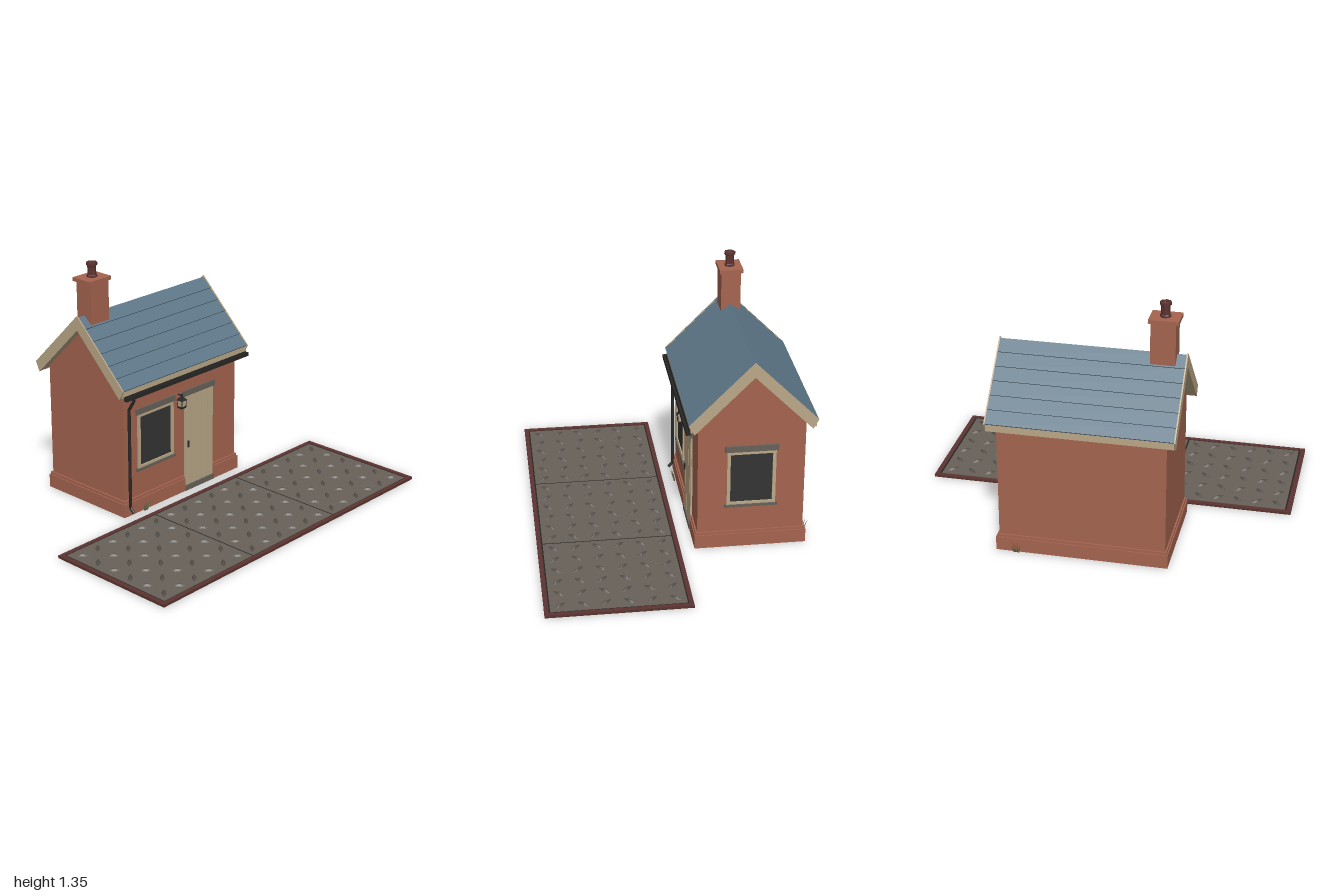
import * as THREE from 'three';
import { mergeGeometries } from 'three/addons/utils/BufferGeometryUtils.js';

const mat = (name, color) => {
  const m = new THREE.MeshStandardMaterial({ color, flatShading: true });
  m.name = name;
  return m;
};

export function createModel() {
  const brick = mat('brick', 0xa5644f);
  const slate = mat('slate', 0x5d7686);
  const timber = mat('cream timber', 0xbaa888);
  const iron = mat('black iron', 0x282726);
  const stone = mat('grey stone', 0x676159);
  const glass = mat('dark glass', 0x343434);
  const rimMat = mat('dark red rim', 0x5c3431);
  const tread = mat('dark tread', 0x544f49);
  const grass = mat('dry grass', 0x66664a);
  const earth = mat('brown earth', 0x4c3420);

  const model = new THREE.Group();
  const add = (name, geo, material, parent = model) => {
    const mesh = new THREE.Mesh(geo, material);
    mesh.name = name;
    parent.add(mesh);
    return mesh;
  };
  // Box given by its limits on each axis
  const box = (name, [x0, x1], [y0, y1], [z0, z1], material, parent) => {
    const g = new THREE.BoxGeometry(x1 - x0, y1 - y0, z1 - z0);
    g.translate((x0 + x1) / 2, (y0 + y1) / 2, (z0 + z1) / 2);
    return add(name, g, material, parent);
  };
  // Tapered rod between two points
  const rod = (name, a, b, r0, r1, material, sides = 8, parent = model) => {
    const p = new THREE.Vector3(...a), d = new THREE.Vector3(...b).sub(p);
    const g = new THREE.CylinderGeometry(r1, r0, d.length(), sides);
    g.translate(0, d.length() / 2, 0);
    const m = add(name, g, material, parent);
    m.position.copy(p);
    m.quaternion.setFromUnitVectors(new THREE.Vector3(0, 1, 0), d.normalize());
    return m;
  };
  const shapeOf = pts => new THREE.Shape(pts.map(p => new THREE.Vector2(...p)));
  // House cross-section (offset from the ridge, height) swept from x0 to x1
  const MID = -0.394, FRONT = -0.113;
  const sweep = (name, pts, x0, x1, material) => {
    const g = new THREE.ExtrudeGeometry(shapeOf(pts), { depth: x1 - x0, bevelEnabled: false });
    g.rotateY(Math.PI / 2);
    g.translate(x0, 0, MID);
    return add(name, g, material);
  };

  // Walls with gables
  sweep('walls', [[-0.281, 0], [0.281, 0], [0.281, 0.718], [0, 0.999], [-0.281, 0.718]], -0.435, 0.435, brick);

  // Two-step plinth, notched for the doorway (plan drawn with y = -z)
  [[0.015, 0, 0.075], [0.009, 0.075, 0.09]].forEach(([o, y0, y1]) => {
    const X = 0.435 + o, F = 0.113 - o, B = 0.675 + o;
    const g = new THREE.ExtrudeGeometry(shapeOf([
      [-X, F], [0.02, F], [0.02, 0.12], [0.252, 0.12], [0.252, F], [X, F], [X, B], [-X, B],
    ]), { depth: y1 - y0, bevelEnabled: false });
    g.rotateX(-Math.PI / 2);
    g.translate(0, y0, 0);
    add('plinth', g, brick);
  });

  // Roof deck with eaves fascia, and bargeboards on both gables
  sweep('roofDeck', [[-0.325, 0.735], [-0.312, 0.7], [0, 1.005], [0.312, 0.7], [0.325, 0.735], [0, 1.055]], -0.46, 0.46, timber);
  [-0.485, 0.478].forEach(x => sweep('bargeboard',
    [[-0.335, 0.742], [-0.307, 0.69], [0, 0.997], [0.307, 0.69], [0.335, 0.742], [0, 1.077]], x, x + 0.007, timber));
  [-0.45, 0.45].forEach(x => sweep('bargeSoffit',
    [[-0.325, 0.735], [-0.307, 0.692], [0, 0.999], [0.307, 0.692], [0.325, 0.735], [0, 1.055]], x - 0.028, x + 0.028, timber));
  [-0.076, -0.72].forEach(z => box('fascia', [-0.478, 0.478], [0.7, 0.738], [z, z + 0.008], timber));

  // Overlapping slate courses as a saw-tooth profile, mirrored over the ridge
  const onSlope = (u, v) => [(u + v) * Math.SQRT1_2, 1.067 + (v - u) * Math.SQRT1_2];
  const courses = 6, step = 0.464 / courses, half = [];
  for (let i = 0; i < courses; i++) {
    half.push(onSlope(i * step, 0), onSlope((i + 1) * step, 0.008));
  }
  half.push(onSlope(courses * step, -0.006));
  const left = half.slice(1).map(([s, y]) => [-s, y]).reverse();
  sweep('slates', [...left, ...half, [0, 1.05]], -0.479, 0.479, slate);

  // Chimney stack, cap and pot
  box('chimneyStack', [-0.43, -0.302], [0.98, 1.245], [-0.448, -0.342], brick);
  box('chimneyCap', [-0.446, -0.291], [1.245, 1.265], [-0.46, -0.332], brick);
  const pot = add('chimneyPot', new THREE.LatheGeometry([
    [0, 0], [0.028, 0], [0.028, 0.01], [0.023, 0.014], [0.023, 0.06], [0.03, 0.064], [0.03, 0.078], [0.022, 0.08], [0.018, 0.06], [0, 0.06],
  ].map(p => new THREE.Vector2(...p)), 8), rimMat);
  pot.position.set(-0.368, 1.265, -0.396);

  // Framed window: built facing +z on a wall at z = 0
  const makeWindow = (name, w) => {
    const g = new THREE.Group(), h = w / 2, i = h - 0.018;
    g.name = name;
    box('glass', [-i, i], [0.264, 0.542], [-0.002, 0.002], glass, g);
    [-1, 1].forEach(s => box('frameSide', s < 0 ? [-h, -i] : [i, h], [0.25, 0.558], [0, 0.009], timber, g));
    box('frameTop', [-i, i], [0.542, 0.558], [0, 0.009], timber, g);
    box('frameBottom', [-i, i], [0.25, 0.264], [0, 0.009], timber, g);
    box('lintel', [-h - 0.012, h + 0.012], [0.557, 0.59], [0, 0.01], stone, g);
    box('sill', [-h - 0.012, h + 0.012], [0.235, 0.25], [0, 0.014], stone, g);
    model.add(g);
    return g;
  };
  makeWindow('frontWindow', 0.27).position.set(-0.199, 0, FRONT);
  const side = makeWindow('sideWindow', 0.257);
  side.position.set(0.435, 0, MID);
  side.rotation.y = Math.PI / 2;

  // Plank door with lintel, step and handle
  box('doorBacking', [0.024, 0.248], [0.03, 0.557], [FRONT, FRONT + 0.004], timber);
  for (let i = 0; i < 5; i++) {
    const x = 0.024 + i * 0.0452;
    box('doorPlank', [x, x + 0.041], [0.03, 0.557], [FRONT, FRONT + 0.01], timber);
  }
  box('doorLintel', [0.01, 0.262], [0.557, 0.59], [FRONT, FRONT + 0.01], stone);
  box('doorStep', [0.021, 0.251], [0, 0.03], [FRONT, FRONT + 0.018], stone);
  box('doorHandle', [0.04, 0.05], [0.255, 0.292], [FRONT, -0.097], iron);

  // Wall lantern on a bracket
  const lantern = new THREE.Group();
  lantern.name = 'lantern';
  const lathe4 = (name, top, bottom, y0, y1, material) => {
    const g = new THREE.CylinderGeometry(top, bottom, y1 - y0, 4);
    g.rotateY(Math.PI / 4);
    g.translate(0, (y0 + y1) / 2, 0);
    add(name, g, material, lantern);
  };
  lathe4('lanternPanes', 0.025, 0.022, 0.52, 0.556, timber);
  lathe4('lanternRoof', 0.01, 0.031, 0.556, 0.574, iron);
  lathe4('lanternFinial', 0.007, 0.007, 0.574, 0.589, iron);
  lathe4('lanternBase', 0.026, 0.022, 0.51, 0.521, iron);
  [[1, 1], [1, -1], [-1, 1], [-1, -1]].forEach(([a, b]) =>
    rod('lanternPost', [a * 0.0155, 0.518, b * 0.0155], [a * 0.0177, 0.557, b * 0.0177], 0.0025, 0.0025, iron, 4, lantern));
  rod('lanternBracket', [0, 0.582, 0], [0, 0.582, -0.027], 0.004, 0.004, iron, 6, lantern);
  lantern.position.set(-0.02, 0, -0.086);
  model.add(lantern);

  // Box gutter: floor, front lip and back
  box('gutterFloor', [-0.472, 0.472], [0.686, 0.692], [-0.068, -0.046], iron);
  [-0.05, -0.068].forEach(z => box('gutterSide', [-0.472, 0.472], [0.686, 0.708], [z, z + 0.005], iron));
  [-0.472, 0.467].forEach(x => box('gutterEnd', [x, x + 0.005], [0.686, 0.707], [-0.066, -0.047], iron));

  // Bent downpipe
  const run = [[0.69, -0.055], [0.67, -0.058], [0.612, -0.094], [0.05, -0.094], [0.026, -0.07]];
  for (let i = 1; i < run.length; i++) {
    rod('downpipe', [-0.41, ...run[i - 1]], [-0.41, ...run[i]], 0.0085, 0.0085, iron);
  }

  // Grass tufts
  [[-0.298, -0.09, 1], [0.34, -0.695, -1]].forEach(([x, z, dir]) => {
    [[-0.025, 0.045, 0.01], [-0.012, 0.065, 0.018], [0.003, 0.05, 0.006], [0.014, 0.07, 0.025], [0.027, 0.04, 0.014]]
      .forEach(([dx, h, dz]) => rod('grassBlade', [x + dx * 0.4, 0, z], [x + dx, h, z + dir * dz], 0.005, 0.0005, grass, 3));
  });

  // Paved strip: earth base, iron bed and raised rim
  box('stripBase', [-1, 1], [0, 0.004], [-0.02, 0.725], earth);
  box('stripBed', [-0.975, 0.975], [0.003, 0.0105], [0.003, 0.702], iron);
  [[[-1, 1], [-0.02, 0.003]], [[-1, 1], [0.702, 0.725]], [[-1, -0.975], [0.003, 0.702]], [[0.975, 1], [0.003, 0.702]]]
    .forEach(([x, z]) => box('stripRim', x, [0.004, 0.0145], z, rimMat));

  // Three plates with lens-shaped ridged treads in a chequered weave
  const lens = new THREE.CylinderGeometry(0.3, 1, 0.01, 12);
  const p = lens.attributes.position;
  for (let i = 0; i < p.count; i++) {
    const r = Math.hypot(p.getX(i), p.getZ(i)) || 1;
    p.setXYZ(i, p.getX(i) * 0.039, p.getY(i), p.getZ(i) * Math.abs(p.getZ(i)) / r * 0.0125);
  }
  const treads = [];
  [-0.647, 0, 0.647].forEach(cx => {
    box('plate', [cx - 0.319, cx + 0.319], [0.009, 0.0125], [0.009, 0.695], stone);
    for (let c = 0; c < 6; c++) for (let r = 0; r < 6; r++) {
      const g = lens.clone();
      g.rotateY((c + r) % 2 ? Math.PI / 4 : -Math.PI / 4);
      g.translate(cx + (c - 2.5) * 0.107, 0.017, 0.067 + r * 0.115);
      treads.push(g);
    }
  });
  add('plateTreads', mergeGeometries(treads), tread);

  return model;
}
